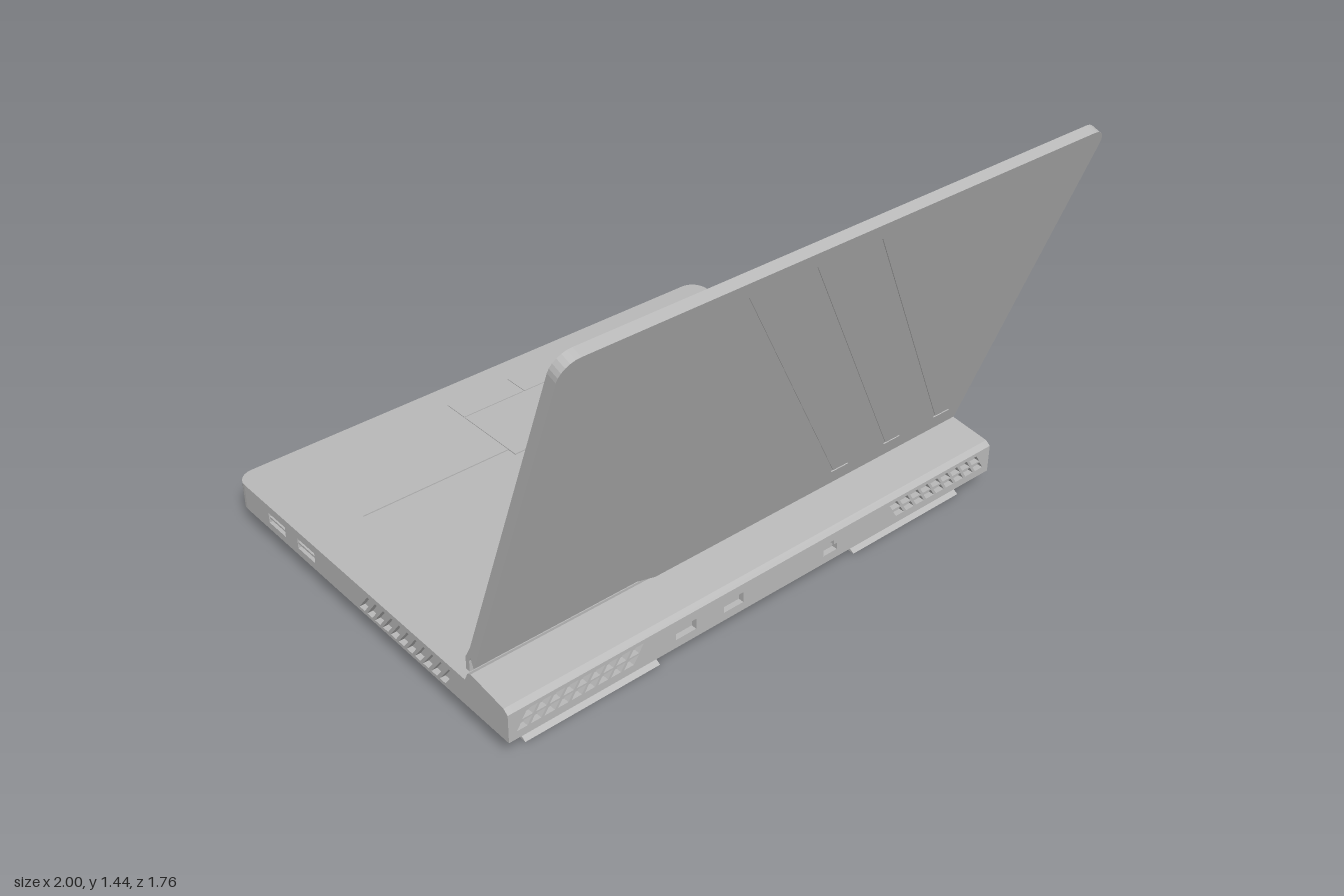
import * as THREE from 'three';
import { ConvexGeometry } from 'three/addons/geometries/ConvexGeometry.js';

const grey = new THREE.MeshStandardMaterial({ color: 0xb8b8b8 });
grey.name = 'plain grey';

const poly = (pts) => pts.map(([x, y]) => new THREE.Vector2(x, y));
const rect = (x0, y0, x1, y1) => [[x0, y0], [x1, y0], [x1, y1], [x0, y1]];

// Flat outline with optional holes, extruded along +z
function extrude(pts, depth, holes = []) {
  const shape = new THREE.Shape(poly(pts));
  holes.forEach((h) => shape.holes.push(new THREE.Path(poly(h))));
  return new THREE.ExtrudeGeometry(shape, { depth, bevelEnabled: false });
}
// Profile in (z, y), running from x0 to x1
const alongX = (pts, x0, x1, holes) => extrude(pts, x1 - x0, holes).rotateY(-Math.PI / 2).translate(x1, 0, 0);
// Plan in (x, z), running from y0 to y1
const alongY = (pts, y0, y1, holes) => extrude(pts, y1 - y0, holes).rotateX(Math.PI / 2).translate(0, y1, 0);

function add(parent, name, geometry) {
  const mesh = new THREE.Mesh(geometry, grey);
  mesh.name = name;
  parent.add(mesh);
  return mesh;
}

// Points of a quarter circle, from angle a (in quarter turns)
function corner(cx, cy, r, a) {
  return Array.from({ length: 7 }, (_, i) => {
    const t = (a + i / 6) * Math.PI / 2;
    return [cx + r * Math.cos(t), cy + r * Math.sin(t)];
  });
}

function buildBase(base) {
  // Core, leaving room for pierced side and rear panels
  const plan = [
    [0.98, 0.58], [-0.98, 0.58], [-0.98, -0.8], [-1, -0.8],
    ...corner(-0.94, -0.82, 0.06, 2), ...corner(0.94, -0.82, 0.06, 3),
    [1, -0.8], [0.98, -0.8],
  ];
  add(base, 'baseCore', alongY(plan, 0.07, 0.161));
  add(base, 'deck', alongY(plan, 0.161, 0.165, [rect(-0.8, -0.43, 0.8, 0.21)]));

  // Tapered underside
  const ring = (y, d) => [
    ...corner(0.98 - d, 0.58 - d, 0.02, 0), ...corner(-0.98 + d, 0.58 - d, 0.02, 1),
    ...corner(-0.94 + d, -0.82 + d, 0.06, 2), ...corner(0.94 - d, -0.82 + d, 0.06, 3),
  ].map(([x, z]) => new THREE.Vector3(x, y, z));
  add(base, 'underside', new ConvexGeometry([...ring(0.07, 0), ...ring(0.035, 0.055)]));

  // Raised rear ridge
  const ridge = [[0.58, 0.17], [0.6, 0.17], [0.582, 0.184], [0.43, 0.204], [0.415, 0.197], [0.4, 0.165]];
  add(base, 'rearRidge', alongX([[0.4, 0.15], [0.58, 0.15], ...ridge], -0.98, 0.98));

  // Side panels with slanted vents and ports
  const vents = Array.from({ length: 11 }, (_, i) => {
    const z = -0.15 + i * 0.042;
    return [[z, 0.082], [z + 0.028, 0.082], [z + 0.078, 0.148], [z + 0.05, 0.148]];
  });
  const ports = [-0.45, -0.625].map((z) => rect(z - 0.05, 0.097, z + 0.05, 0.135));
  const side = [[-0.8, 0.07], [0.58, 0.07], ...ridge, [-0.8, 0.165]];
  for (const [name, x] of [['left', 0.98], ['right', -1]]) {
    add(base, name + 'SidePanel', alongX(side, x, x + 0.02, [...vents, ...ports]));
    for (const z of [-0.45, -0.625]) {
      add(base, name + 'PortTongue', new THREE.BoxGeometry(0.014, 0.007, 0.1).translate(x + 0.01, 0.116, z));
    }
  }

  // Rear panel with two rows of cells on each side, and sockets
  const cells = [];
  for (const s of [-1, 1]) {
    for (let row = 0; row < 2; row++) {
      for (let i = 0; i < 9; i++) {
        const x = 0.935 - i * 0.048 - row * 0.02, y = 0.097 + row * 0.033;
        cells.push([[x, y], [x + 0.037, y], [x + 0.019, y + 0.027], [x - 0.018, y + 0.027]]
          .map(([a, b]) => [a * s, b]));
      }
    }
  }
  const sockets = [
    rect(-0.39, 0.1, -0.31, 0.138), rect(-0.2, 0.1, -0.12, 0.138),
    [[0.22, 0.1], [0.28, 0.1], [0.28, 0.125], [0.265, 0.125], [0.265, 0.142],
      [0.235, 0.142], [0.235, 0.125], [0.22, 0.125]],
  ];
  add(base, 'rearPanel', extrude(rect(-1, 0.07, 1, 0.17), 0.02, [...cells, ...sockets]).translate(0, 0, 0.58));

  // Touchpad with two buttons
  add(base, 'touchpad', alongY(rect(-0.23, -0.675, 0.28, -0.39), 0.164, 0.168));
  add(base, 'touchpadButton', alongY(rect(-0.23, -0.78, 0.022, -0.68), 0.164, 0.168));
  add(base, 'touchpadButton', alongY(rect(0.028, -0.78, 0.28, -0.68), 0.164, 0.168));

  // Feet
  const slanted = [[0.48, 0], [0.565, 0], [0.5, 0.04], [0.41, 0.04]];
  add(base, 'rearFoot', alongX(slanted, -0.92, -0.42));
  add(base, 'rearFoot', alongX(slanted, 0.4, 0.9));
  for (const x of [-0.83, 0.83]) {
    add(base, 'frontFoot', new THREE.BoxGeometry(0.12, 0.04, 0.09).translate(x, 0.02, -0.695));
  }
}

// Lid in its own plane: y runs up the lid, z = 0 is its outer face
function buildLid(lid) {
  const outline = [
    [-1, 0.032], [-0.41, 0.032], [-0.33, 0], [1, 0],
    ...corner(0.94, 1.24, 0.06, 0), ...corner(-0.94, 1.24, 0.06, 1),
  ];
  const layer = (name, z0, z1, holes) => {
    const g = extrude(outline, z1 - z0, holes).translate(0, 0, z0);
    // Slant the bottom edge upward toward the screen
    const p = g.attributes.position;
    for (let i = 0; i < p.count; i++) {
      if (p.getY(i) < 0.05) p.setY(i, p.getY(i) - p.getZ(i) * 1.1);
    }
    g.computeVertexNormals();
    add(lid, name, g);
  };
  // Outer skin with three bent grooves
  const w = 0.007;
  const grooves = [-0.4, -0.16, 0.08].map((x) => [
    [x, 1.24], [x + 0.785, 0.07], [x + 0.86, 0.07], [x + 0.86, 0.07 + w],
    [x + 0.785 + w * 0.7, 0.07 + w], [x + w * 1.2, 1.24],
  ]);
  layer('lidOuterSkin', -0.004, 0, grooves);
  layer('lidPanel', -0.028, -0.004);
  // Bezel around the recessed screen
  layer('screenBezel', -0.035, -0.028, [[
    [-0.94, 0.1], [0.91, 0.1], ...corner(0.87, 1.19, 0.04, 0), ...corner(-0.9, 1.19, 0.04, 1),
  ]]);
}

export function createModel() {
  const model = new THREE.Group();
  model.name = 'laptop';

  const base = new THREE.Group();
  base.name = 'base';
  buildBase(base);

  const lid = new THREE.Group();
  lid.name = 'lid';
  buildLid(lid);
  lid.position.set(0, 0.205, 0.437);
  lid.rotation.x = THREE.MathUtils.degToRad(20);
  model.add(base, lid);

  // Bent hinge arms
  const arm = [
    [0.365, 0.16], [0.382, 0.16], [0.382, 0.205], [0.408, 0.258], [0.43, 0.235],
    [0.44, 0.27], [0.43, 0.283], [0.398, 0.272], [0.365, 0.21],
  ];
  add(model, 'rightHinge', alongX(arm, -0.97, -0.9));
  add(model, 'leftHinge', alongX(arm, 0.9, 0.97));
  return model;
}
